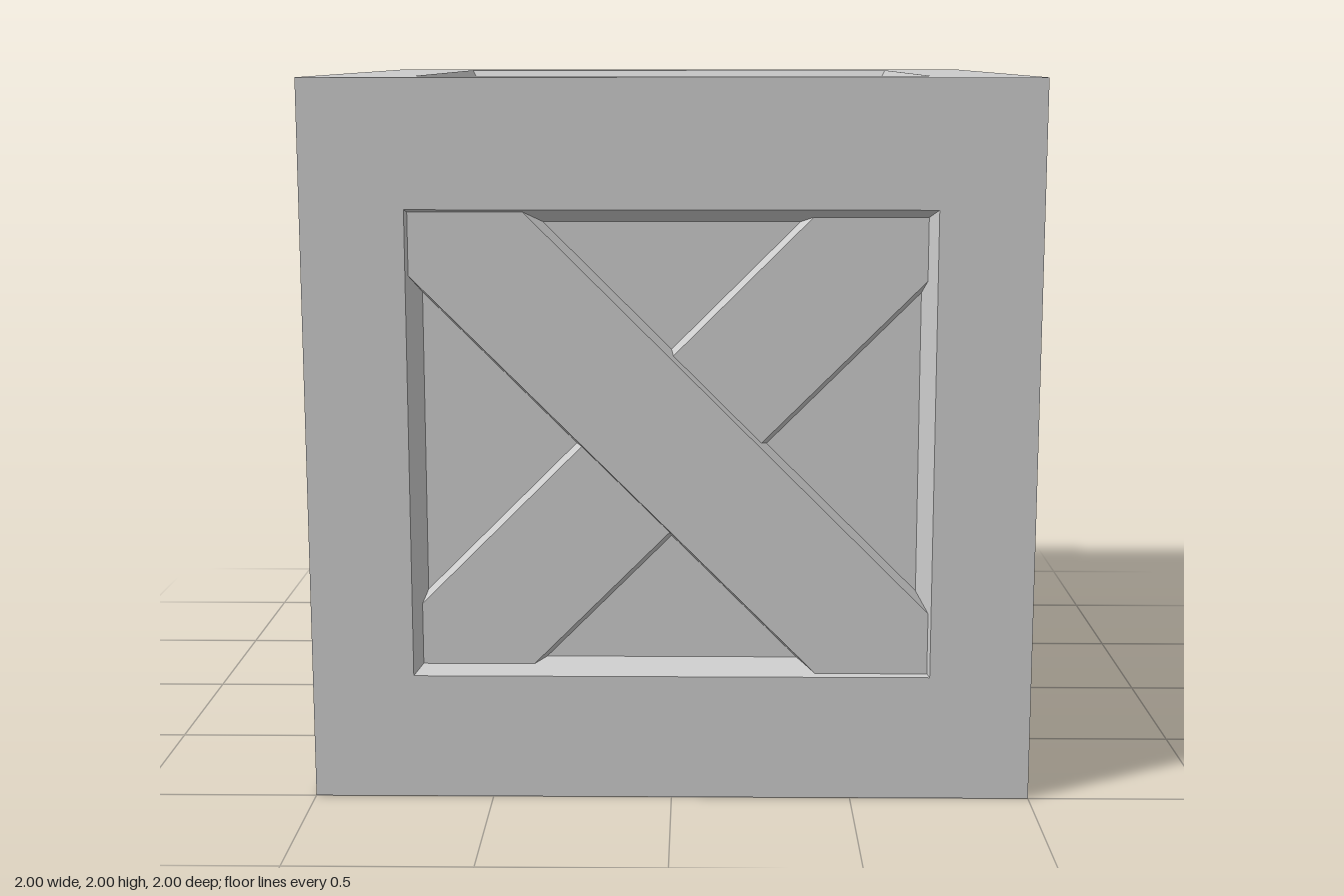
import * as THREE from 'three';

const material = new THREE.MeshStandardMaterial({ color: 0xcccccc, flatShading: true });

// Skins counter-clockwise loops (each {points, z}) from first to last, then caps the last one.
function loft(name, loops) {
  const rings = loops.map(({ points, z }) => points.map(([x, y]) => [x, y, z]));
  const n = rings[0].length;
  const v = [];
  for (let i = 0; i < rings.length - 1; i++) {
    const a = rings[i], b = rings[i + 1];
    for (let j = 0; j < n; j++) {
      const k = (j + 1) % n;
      v.push(...a[j], ...a[k], ...b[k], ...a[j], ...b[k], ...b[j]);
    }
  }
  const cap = rings[rings.length - 1];
  for (let j = 1; j < n - 1; j++) v.push(...cap[0], ...cap[j], ...cap[j + 1]);
  const geometry = new THREE.BufferGeometry();
  geometry.setAttribute('position', new THREE.Float32BufferAttribute(v, 3));
  geometry.computeVertexNormals();
  const mesh = new THREE.Mesh(geometry, material);
  mesh.name = name;
  return mesh;
}

const rect = (w, h) => [[-w, -h], [w, -h], [w, h], [-w, h]];

// Diagonal strip |x + y| < s clipped to a rectangle of half size w, h.
const strip = (w, h, s) => [
  [-w, h], [-w, w - s], [h - s, -h], [w, -h], [w, s - w], [s - h, h],
];
const mirrorLoop = (points) => points.map(([x, y]) => [-x, y]).reverse();

// One cube face: flat frame, sloping recess walls and sunken panel.
function framedFace(w, h, inset, depth) {
  return loft('framedPanel', [
    { points: rect(1, 1), z: 1 },
    { points: rect(w, h), z: 1 },
    { points: rect(w - inset, h - inset), z: 1 - depth },
  ]);
}

const W = 0.718, H = 0.649, INSET = 0.037, DEPTH = 0.07;

// Bevelled plank lying on the panel, its front at the given depth below the frame.
function brace(name, frontDepth, mirrored) {
  const loop = (depth, s) => {
    const t = INSET * depth / DEPTH;
    const points = strip(W - t, H - t, s);
    return { points: mirrored ? mirrorLoop(points) : points, z: 1 - depth };
  };
  return loft(name, [loop(DEPTH, 0.262), loop(frontDepth, 0.242)]);
}

export function createModel() {
  const crate = new THREE.Group();
  crate.name = 'crate';

  // Four identical sides with crossed braces
  ['front', 'left', 'back', 'right'].forEach((side, i) => {
    const group = new THREE.Group();
    group.name = side + 'Side';
    group.add(
      framedFace(W, H, INSET, DEPTH),
      brace('frontBrace', 0.013, false),
      brace('rearBrace', 0.043, true),
    );
    group.rotation.y = i * Math.PI / 2;
    group.position.y = 1;
    crate.add(group);
  });

  // Lid and base with plain recesses
  const lid = framedFace(0.718, 0.718, 0.037, 0.065);
  lid.name = 'lid';
  lid.rotation.x = -Math.PI / 2;
  const base = framedFace(0.68, 0.68, 0.035, 0.06);
  base.name = 'base';
  base.rotation.x = Math.PI / 2;
  for (const part of [lid, base]) {
    part.position.y = 1;
    crate.add(part);
  }
  return crate;
}
